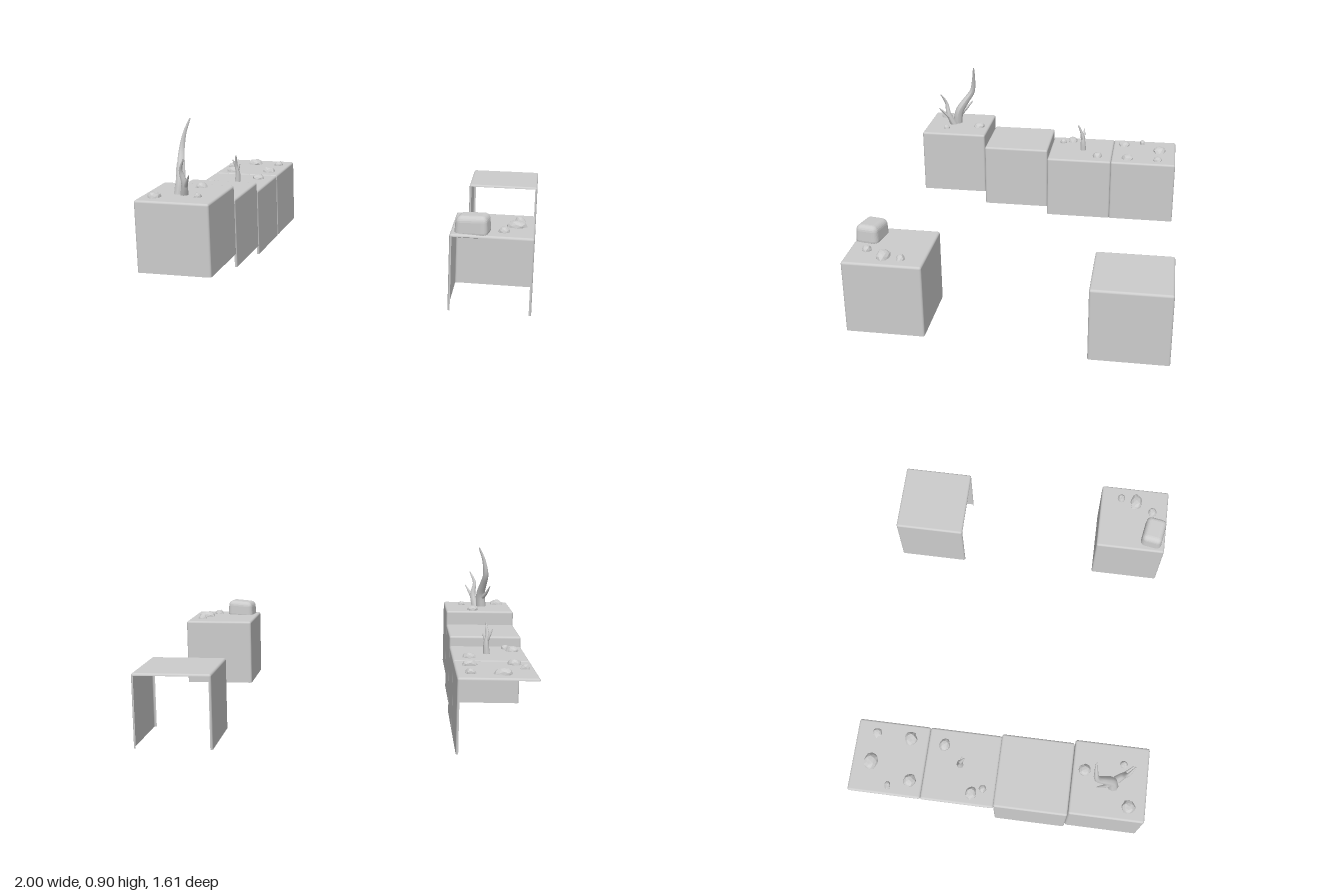
import * as THREE from 'three';
import { RoundedBoxGeometry } from 'three/addons/geometries/RoundedBoxGeometry.js';
import { mergeVertices } from 'three/addons/utils/BufferGeometryUtils.js';

const SIZE = 0.4, HEIGHT = 0.385, R = 0.012;

// Open-bottomed block with rounded edges; sides lists the walls to keep
function blockGeometry(sides) {
  const H = HEIGHT + R, half = SIZE / 2 - R;
  const box = new RoundedBoxGeometry(SIZE, H, SIZE, 3, R);
  const pos = box.attributes.position, nor = box.attributes.normal;
  const p = [], n = [];
  for (let i = 0; i < pos.count; i += 3) {
    const mid = (axis) => (pos[axis](i) + pos[axis](i + 1) + pos[axis](i + 2)) / 3;
    const x = mid('getX'), y = mid('getY'), z = mid('getZ');
    const wall = { left: x > half, right: x < -half, front: z > half, back: z < -half };
    const keep = y > H / 2 - R || (y > -H / 2 + R && sides.some((s) => wall[s]));
    if (!keep) continue;
    for (let k = i; k < i + 3; k++) {
      p.push(pos.getX(k), pos.getY(k) - H / 2, pos.getZ(k));
      n.push(nor.getX(k), nor.getY(k), nor.getZ(k));
    }
  }
  const g = new THREE.BufferGeometry();
  g.setAttribute('position', new THREE.Float32BufferAttribute(p, 3));
  g.setAttribute('normal', new THREE.Float32BufferAttribute(n, 3));
  return g;
}

// Irregular low pebble, flattened to a dome
function pebbleGeometry(seed, rx, rz, h) {
  const g = mergeVertices(new THREE.IcosahedronGeometry(1, 1).deleteAttribute('uv').deleteAttribute('normal'));
  const pos = g.attributes.position;
  for (let i = 0; i < pos.count; i++) {
    const s = Math.sin((i + 1) * 12.9898 + seed * 78.233) * 43758.5453;
    const k = 0.88 + 0.2 * (s - Math.floor(s));
    const y = pos.getY(i);
    pos.setXYZ(i, pos.getX(i) * k * rx, Math.max(-0.3, Math.min(y * k, 0.9)) * h, pos.getZ(i) * k * rz);
  }
  const flat = g.toNonIndexed();
  flat.computeVertexNormals();
  return flat;
}

// Bent branch that narrows to its tip
function branchGeometry(points, r0, r1) {
  const curve = new THREE.CatmullRomCurve3(points.map((q) => new THREE.Vector3(...q)));
  const g = new THREE.TubeGeometry(curve, 18, r0, 8);
  const { position: pos, normal: nor, uv } = g.attributes;
  for (let i = 0; i < pos.count; i++) {
    const d = (r1 - r0) * Math.pow(uv.getX(i), 1.2);
    pos.setXYZ(i, pos.getX(i) + nor.getX(i) * d, pos.getY(i) + nor.getY(i) * d, pos.getZ(i) + nor.getZ(i) * d);
  }
  g.computeVertexNormals();
  return g;
}

export function createModel() {
  const model = new THREE.Group();
  const stone = new THREE.MeshStandardMaterial({ color: 0xcccccc, side: THREE.DoubleSide });
  stone.name = 'plain grey';
  const add = (name, geometry, x = 0, y = 0, z = 0) => {
    const m = new THREE.Mesh(geometry, stone);
    m.name = name;
    m.position.set(x, y, z);
    model.add(m);
    return m;
  };

  // Terrain blocks: name, x, top height, z, walls
  const blocks = [
    ['highBlock', -0.8, 0.52, 0.6, ['left', 'right', 'front', 'back']],
    ['middleBlock', -0.8, 0.44, 0.2, ['left', 'right', 'back']],
    ['lowBlock', -0.8, 0.385, -0.2, ['left']],
    ['endBlock', -0.8, 0.385, -0.6, ['left']],
    ['boulderBlock', 0.8, 0.44, 0.6, ['left', 'right', 'back']],
    ['bridgeBlock', 0.8, 0.385, -0.606, ['left', 'right']],
  ];
  for (const [name, x, y, z, sides] of blocks) add(name, blockGeometry(sides), x, y, z);

  // Pebbles: x, ground height, z, half width, half depth
  const pebbles = [
    [-0.83, 0.385, -0.7, 0.048, 0.04], [-0.67, 0.385, -0.69, 0.029, 0.026],
    [-0.95, 0.385, -0.585, 0.025, 0.017], [-0.91, 0.385, -0.47, 0.038, 0.035],
    [-0.68, 0.385, -0.5, 0.04, 0.036], [-0.69, 0.385, -0.31, 0.036, 0.03],
    [-0.935, 0.385, -0.13, 0.036, 0.032], [-0.905, 0.385, -0.07, 0.024, 0.02],
    [-0.76, 0.52, 0.465, 0.034, 0.034], [-0.925, 0.52, 0.71, 0.036, 0.038],
    [-0.705, 0.52, 0.667, 0.02, 0.02], [0.925, 0.44, 0.52, 0.027, 0.023],
    [0.91, 0.44, 0.61, 0.05, 0.037], [0.855, 0.44, 0.71, 0.029, 0.026],
  ];
  pebbles.forEach(([x, y, z, rx, rz], i) =>
    add('pebble', pebbleGeometry(i + 1, rx, rz, 0.018 + rx * 0.3), x, y, z));

  // Boulder: rounded block, narrower towards the top
  const boulder = new RoundedBoxGeometry(0.165, 0.11, 0.125, 3, 0.03);
  const bp = boulder.attributes.position;
  for (let i = 0; i < bp.count; i++) {
    const k = 1 - 0.7 * (bp.getY(i) + 0.055);
    bp.setXYZ(i, bp.getX(i) * k + 0.004, bp.getY(i) + bp.getX(i) * 0.06, bp.getZ(i) * k);
  }
  boulder.computeVertexNormals();
  add('boulder', boulder, 0.702, 0.47, 0.726).rotation.y = -0.16;

  // Bare shrub on the high block: path, base radius, tip radius
  const branches = [
    ['tallBranch', [[-0.825, 0.51, 0.62], [-0.818, 0.6, 0.605], [-0.83, 0.665, 0.565],
      [-0.84, 0.73, 0.522], [-0.825, 0.82, 0.507], [-0.795, 0.897, 0.5]], 0.03, 0.004],
    ['secondBranch', [[-0.79, 0.51, 0.635], [-0.775, 0.59, 0.667], [-0.785, 0.66, 0.682],
      [-0.757, 0.725, 0.71]], 0.022, 0.003],
    ['leftTwig', [[-0.778, 0.56, 0.655], [-0.755, 0.6, 0.685], [-0.73, 0.64, 0.715]], 0.013, 0.003],
    ['rightTwig', [[-0.82, 0.57, 0.61], [-0.848, 0.605, 0.57], [-0.868, 0.655, 0.527]], 0.014, 0.003],
    // Small stump on the low block
    ['stump', [[-0.79, 0.375, -0.21], [-0.787, 0.44, -0.208], [-0.793, 0.49, -0.2],
      [-0.785, 0.55, -0.178]], 0.019, 0.004],
    ['stumpTwig', [[-0.79, 0.455, -0.208], [-0.803, 0.485, -0.213], [-0.818, 0.52, -0.213]], 0.01, 0.003],
    ['stumpTwig', [[-0.79, 0.445, -0.207], [-0.778, 0.47, -0.2], [-0.768, 0.495, -0.196]], 0.009, 0.003],
  ];
  for (const [name, path, r0, r1] of branches) add(name, branchGeometry(path, r0, r1));

  return model;
}
